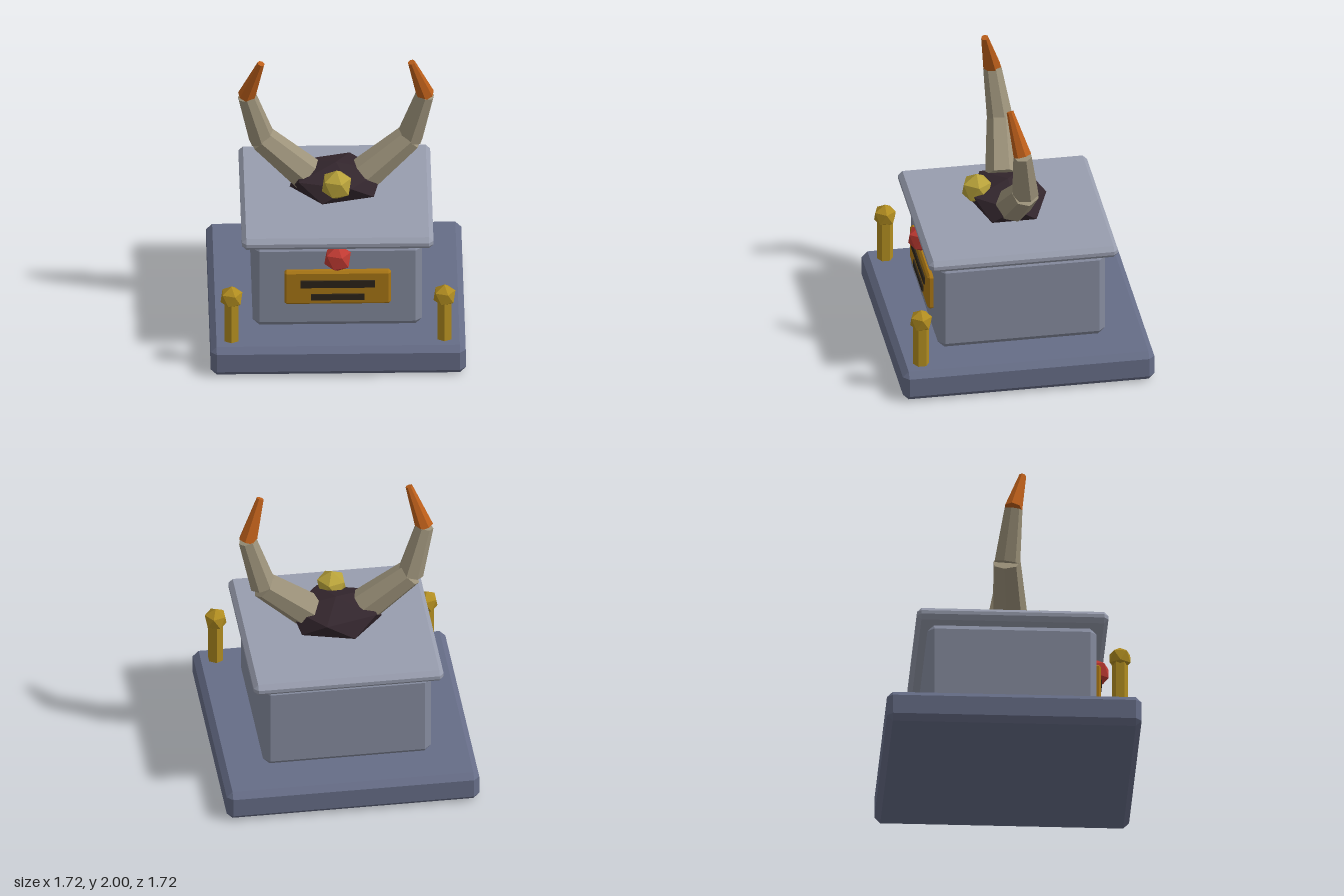
import * as THREE from 'three';
import { ConvexGeometry } from 'three/addons/geometries/ConvexGeometry.js';

const material = (color) => new THREE.MeshStandardMaterial({ color, flatShading: true });
const stoneDark = material(0x666d87);
const stone = material(0x858b9e);
const stoneLight = material(0x989dae);
const brass = material(0xb08c20);
const gold = material(0xb8a23a);
const bronze = material(0xaa7715);
const slotDark = material(0x2c2419);
const skull = material(0x33262d);
const bone = material(0x9c927a);
const ember = material(0xbd5f1a);
const ruby = material(0xbf3a32);

// Box with every edge and corner cut by a single chamfer
function chamferBox(w, h, d, b) {
  const half = [w / 2, h / 2, d / 2];
  const points = [];
  for (const sx of [-1, 1]) for (const sy of [-1, 1]) for (const sz of [-1, 1]) {
    for (let full = 0; full < 3; full++) {
      const c = half.map((v, i) => (i === full ? v : v - b));
      points.push(new THREE.Vector3(sx * c[0], sy * c[1], sz * c[2]));
    }
  }
  return new ConvexGeometry(points);
}

// Twenty-sided gem standing on a corner
function gem(rx, ry = rx, rz = rx) {
  const points = [new THREE.Vector3(0, ry, 0), new THREE.Vector3(0, -ry, 0)];
  for (let k = 0; k < 5; k++) {
    const a = (k * 2 * Math.PI) / 5;
    const x = 0.894 * rx * Math.cos(a), y = 0.447 * ry, z = 0.894 * rz * Math.sin(a);
    points.push(new THREE.Vector3(x, y, z), new THREE.Vector3(-x, -y, z));
  }
  return new ConvexGeometry(points);
}

function add(parent, name, geometry, mat, x, y, z) {
  const mesh = new THREE.Mesh(geometry, mat);
  mesh.name = name;
  mesh.position.set(x, y, z);
  parent.add(mesh);
  return mesh;
}

// Tapered straight piece between two points
function taper(parent, name, from, to, r0, r1, mat) {
  const a = new THREE.Vector3(...from), b = new THREE.Vector3(...to);
  const dir = b.clone().sub(a);
  const mid = a.clone().add(b).multiplyScalar(0.5);
  const mesh = add(parent, name, new THREE.CylinderGeometry(r1, r0, dir.length(), 7), mat, mid.x, mid.y, mid.z);
  mesh.quaternion.setFromUnitVectors(new THREE.Vector3(0, 1, 0), dir.normalize());
}

export function createModel() {
  const model = new THREE.Group();
  model.name = 'hornedShrine';

  // Stone steps
  add(model, 'base', chamferBox(1.724, 0.215, 1.724, 0.04), stoneDark, 0, 0.1075, 0);
  add(model, 'body', chamferBox(1.146, 0.64, 1.146, 0.045), stone, 0, 0.535, 0);
  add(model, 'cap', chamferBox(1.296, 0.085, 1.296, 0.03), stoneLight, 0, 0.8975, 0);

  // Front plaque with two dark slots and a red gem above
  add(model, 'plaque', chamferBox(0.72, 0.256, 0.06, 0.015), bronze, 0, 0.543, 0.582);
  add(model, 'upperSlot', new THREE.BoxGeometry(0.504, 0.054, 0.03), slotDark, 0, 0.578, 0.607);
  add(model, 'lowerSlot', new THREE.BoxGeometry(0.36, 0.045, 0.03), slotDark, 0, 0.478, 0.607);
  add(model, 'redGem', gem(0.1), ruby, 0, 0.77, 0.595);

  // Skull lump and its front gem
  add(model, 'skullLump', gem(0.35, 0.13, 0.29), skull, 0, 1.045, 0);
  add(model, 'goldGem', gem(0.111), gold, 0, 1.121, 0.215);

  for (const s of [1, -1]) {
    const side = s > 0 ? 'left' : 'right';

    // Front posts with gem finials
    add(model, side + 'Post', new THREE.CylinderGeometry(0.055, 0.055, 0.3, 6), brass, s * 0.72, 0.355, 0.72);
    add(model, side + 'Finial', gem(0.083), brass, s * 0.72, 0.545, 0.72);

    // Horn in three straight tapering pieces
    const horn = new THREE.Group();
    horn.name = side + 'Horn';
    const root = [s * 0.2, 1.085, 0], elbow = [s * 0.5, 1.345, -0.035];
    const bend = [s * 0.603, 1.7, 0.003], tip = [s * 0.508, 1.992, 0.072];
    taper(horn, 'hornRoot', root, elbow, 0.122, 0.095, bone);
    taper(horn, 'hornMiddle', elbow, bend, 0.092, 0.064, bone);
    taper(horn, 'hornTip', bend, tip, 0.063, 0.025, ember);
    model.add(horn);
  }
  return model;
}
